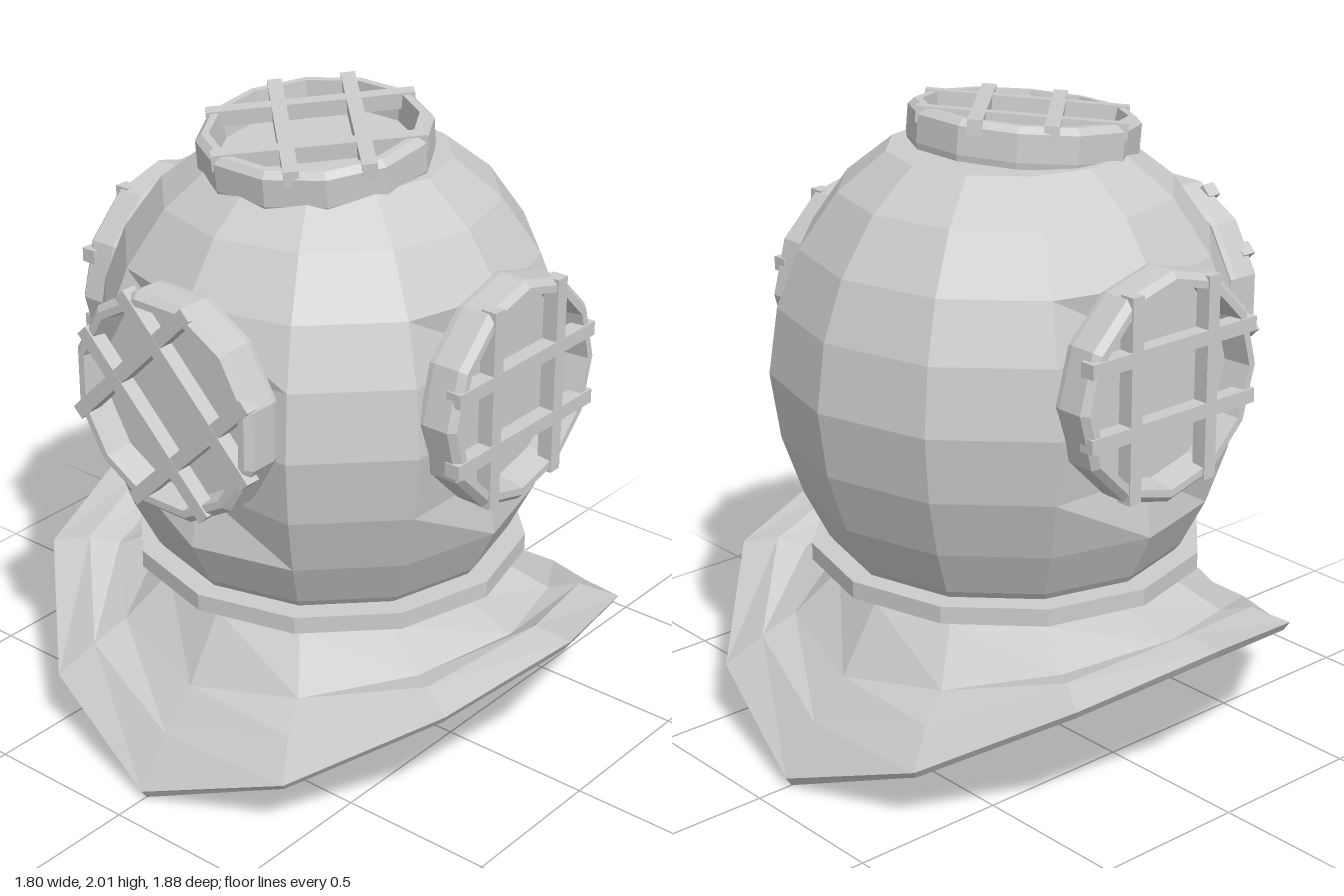
import * as THREE from 'three';

const SIDES = 12;
const material = new THREE.MeshStandardMaterial({ color: 0xcccccc, flatShading: true });

// Skin a stack of 12-sided rings; point(ring, i) gives each corner
function skin(name, rings, point) {
  const pos = [], index = [];
  rings.forEach((ring) => {
    for (let i = 0; i < SIDES; i++) pos.push(...point(ring, i));
  });
  for (let j = 0; j < rings.length - 1; j++) {
    for (let i = 0; i < SIDES; i++) {
      const k = (i + 1) % SIDES;
      const a = j * SIDES + i, b = j * SIDES + k;
      const c = b + SIDES, d = a + SIDES;
      index.push(a, d, c, a, c, b);
    }
  }
  const geometry = new THREE.BufferGeometry();
  geometry.setAttribute('position', new THREE.Float32BufferAttribute(pos, 3));
  geometry.setIndex(index);
  geometry.computeVertexNormals();
  return named(name, geometry);
}

function named(name, geometry) {
  const mesh = new THREE.Mesh(geometry, material);
  mesh.name = name;
  return mesh;
}

// Round window: chamfered ring, pane and four crossing guard bars, facing +y
function createPort(name, spin = 0) {
  const port = new THREE.Group();
  port.name = name;
  const body = new THREE.Group();
  body.rotation.y = spin;
  port.add(body);

  const profile = [[0.31, 0], [0.35, 0], [0.355, 0.02], [0.355, 0.105], [0.335, 0.125], [0.312, 0.125], [0.3, 0.03], [0.31, 0]]
    .map(([x, y]) => new THREE.Vector2(x, y));
  body.add(named('portRing', new THREE.LatheGeometry(profile, SIDES)));

  const pane = named('portPane', new THREE.CylinderGeometry(0.32, 0.32, 0.03, SIDES));
  pane.position.y = 0.02;
  body.add(pane);

  for (const x of [-0.15, 0.155]) {
    const bar = named('portBar', new THREE.BoxGeometry(0.045, 0.05, 0.63));
    bar.position.set(x, 0.105, 0);
    body.add(bar);
  }
  for (const z of [-0.095, 0.13]) {
    const bar = named('portCrossBar', new THREE.BoxGeometry(0.66, 0.05, 0.045));
    bar.position.set(0, 0.106, z);
    body.add(bar);
  }
  return port;
}

export function createModel() {
  const model = new THREE.Group();
  model.name = 'divingHelmet';

  // Dome: [radius, height]; flattened where the front, back and right ports sit
  const dome = [
    [0.54, 0.59], [0.57, 0.63], [0.645, 0.78], [0.71, 0.97], [0.74, 1.18],
    [0.71, 1.39], [0.64, 1.57], [0.52, 1.74], [0.37, 1.86], [0, 1.86],
  ];
  model.add(skin('dome', dome, ([radius, y], i) => {
    const flat = i > 0 && i % 3 === 0 && y > 0.9 && y < 1.5;
    const r = flat ? radius * Math.cos(Math.PI / SIDES * 2) : radius;
    const t = (i / SIDES) * Math.PI * 2;
    return [r * Math.cos(t), y, r * Math.sin(t)];
  }));

  // Saddle-shaped collar: [x radius, z radius, heights from side to front]
  const collar = [
    [0, 0, [0.3, 0.3, 0.3, 0.3]],
    [0.46, 0.47, [0.2, 0.25, 0.34, 0.39]],
    [0.88, 0.92, [0, 0.175, 0.39, 0.48]],
    [0.9, 0.94, [0.03, 0.2, 0.42, 0.515]],
    [0.785, 0.81, [0.18, 0.295, 0.45, 0.52]],
    [0.67, 0.72, [0.3, 0.36, 0.43, 0.455]],
    [0.54, 0.54, [0.51, 0.51, 0.51, 0.51]],
    [0.54, 0.54, [0.57, 0.57, 0.57, 0.57]],
  ];
  model.add(skin('collar', collar, ([rx, rz, heights], i) => {
    const t = (i / SIDES) * Math.PI * 2;
    const step = i % 6;
    return [rx * Math.cos(t), heights[Math.min(step, 6 - step)], rz * Math.sin(t)];
  }));

  // Neck flange between collar and dome
  const flange = named('neckFlange', new THREE.CylinderGeometry(0.625, 0.625, 0.055, SIDES));
  flange.position.y = 0.578;
  model.add(flange);

  // Ports
  const front = createPort('frontPort');
  front.position.set(0, 1.285, 0.62);
  front.rotation.x = Math.PI / 2;

  const back = createPort('backPort');
  back.position.set(0.02, 1.285, -0.625);
  back.rotation.x = -Math.PI / 2;

  const right = createPort('rightPort', Math.PI / 4);
  right.position.set(-0.64, 1.285, 0);
  right.rotation.z = Math.PI / 2;

  const top = createPort('topPort', Math.PI / 4);
  top.position.set(-0.06, 1.84, 0);
  top.rotation.z = THREE.MathUtils.degToRad(6);

  model.add(front, back, right, top);
  return model;
}
